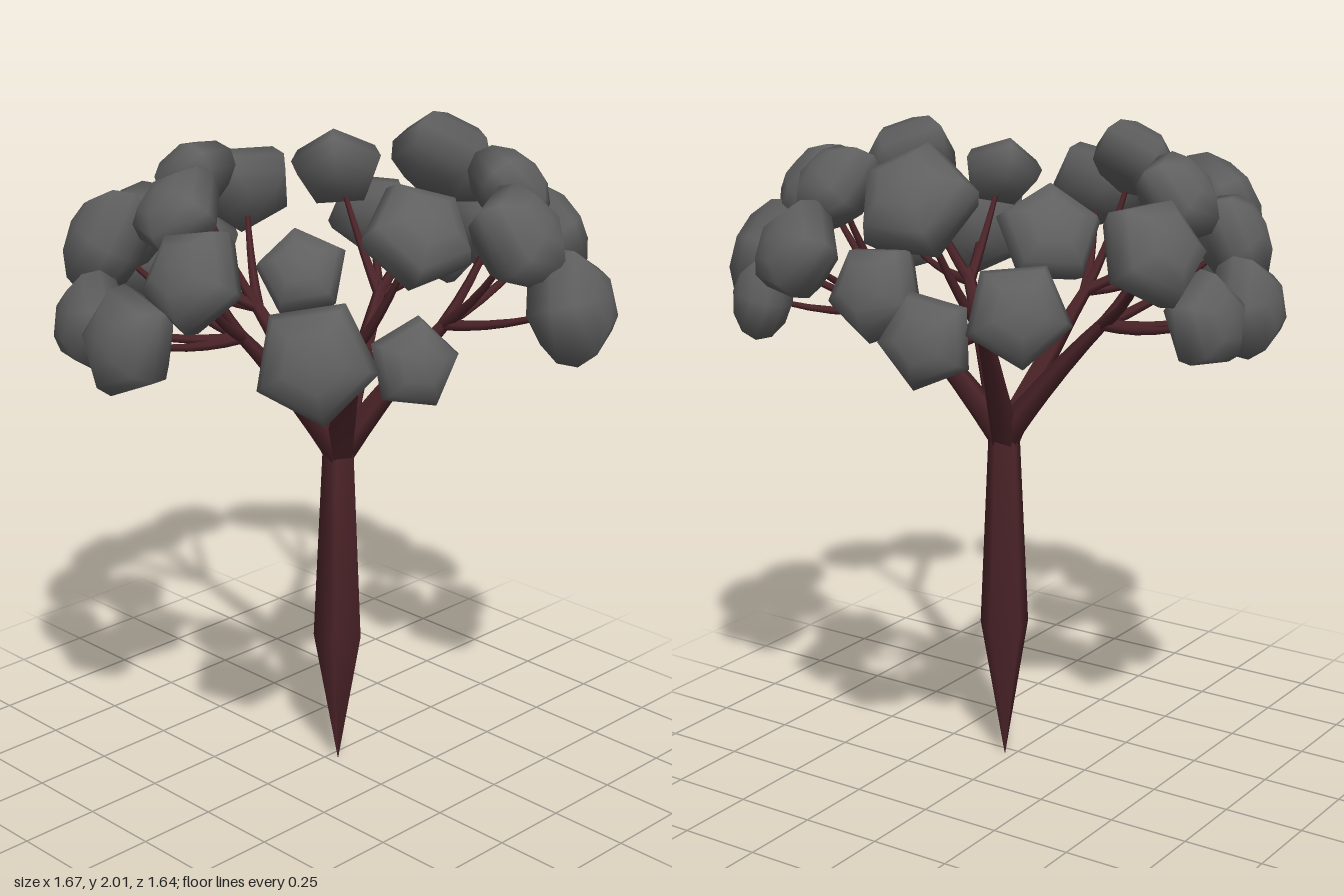
import * as THREE from 'three';

const bark = new THREE.MeshStandardMaterial({ color: 0x4c2429 });
const leaf = new THREE.MeshStandardMaterial({ color: 0x606060 });
const V = (x, y, z) => new THREE.Vector3(x, y, z);

const CROTCH = V(0.03, 1.05, 0.03); // top of the trunk, where the limbs part
const CROWN = V(0.03, 1.35, 0.03); // point the leaf clumps face away from

// Each limb: its fork point, then its clumps as [x, y, z, radius]
const limbs = [
  { name: 'back', fork: V(0.01, 1.47, -0.33), clumps: [
    [-0.24, 1.69, -0.59, 0.155], [-0.09, 1.53, -0.72, 0.155], [-0.07, 1.83, -0.5, 0.145],
    [0.24, 1.73, -0.6, 0.165], [0.13, 1.53, -0.71, 0.145]] },
  { name: 'left', fork: V(0.36, 1.49, -0.11), clumps: [
    [0.45, 1.79, -0.4, 0.15], [0.63, 1.61, -0.42, 0.15], [0.735, 1.53, -0.2, 0.14],
    [0.57, 1.86, -0.05, 0.18], [0.69, 1.63, 0, 0.145]] },
  { name: 'frontLeft', fork: V(0.25, 1.49, 0.28), clumps: [
    [0.44, 1.85, 0.33, 0.15], [0.61, 1.69, 0.34, 0.155], [0.53, 1.52, 0.54, 0.13],
    [0.2, 1.79, 0.57, 0.17], [0.31, 1.59, 0.68, 0.18]] },
  { name: 'frontRight', fork: V(-0.15, 1.51, 0.29), clumps: [
    [-0.13, 1.84, 0.49, 0.165], [-0.43, 1.77, 0.35, 0.13],
    [-0.52, 1.57, 0.49, 0.175], [-0.3, 1.55, 0.64, 0.13]] },
  { name: 'right', fork: V(-0.3, 1.49, -0.07), clumps: [
    [-0.45, 1.85, -0.13, 0.15], [-0.49, 1.73, -0.4, 0.175], [-0.65, 1.54, -0.29, 0.15],
    [-0.72, 1.55, -0.04, 0.165], [-0.59, 1.73, 0.09, 0.16]] },
];

// Tube along a bent path, narrowing from r0 to r1
function taperedTube(from, bend, to, r0, r1, rings, sides) {
  const curve = new THREE.QuadraticBezierCurve3(from, bend, to);
  const geo = new THREE.TubeGeometry(curve, rings, 1, sides);
  const pos = geo.attributes.position;
  const p = V(0, 0, 0);
  for (let i = 0; i < pos.count; i++) {
    const t = Math.floor(i / (sides + 1)) / rings;
    const c = curve.getPointAt(t);
    p.fromBufferAttribute(pos, i).sub(c).multiplyScalar(r0 + (r1 - r0) * t).add(c);
    pos.setXYZ(i, p.x, p.y, p.z);
  }
  return geo;
}

function addMesh(parent, name, geo, mat) {
  const mesh = new THREE.Mesh(geo, mat);
  mesh.name = name;
  parent.add(mesh);
  return mesh;
}

export function createModel() {
  const tree = new THREE.Group();
  tree.name = 'tree';

  // Five-sided trunk: pointed foot, widest below the middle
  const profile = [[0.001, 0.01], [0.078, 0.45], [0.05, 1.06], [0.001, 1.1]];
  const trunk = addMesh(tree, 'trunk', new THREE.LatheGeometry(
    profile.map(([r, y]) => new THREE.Vector2(r, y)), 5), bark);
  trunk.position.set(CROTCH.x, 0, CROTCH.z);
  trunk.rotation.y = Math.PI / 2;

  // Five-sided rounded clump, flattened along its axis
  const clumpGeo = new THREE.SphereGeometry(1, 5, 6);

  limbs.forEach(({ name, fork, clumps }, n) => {
    const limb = new THREE.Group();
    limb.name = name + 'Limb';
    tree.add(limb);

    // Main branch
    const bend = CROTCH.clone().lerp(fork, 0.5);
    bend.y += 0.03;
    addMesh(limb, 'branch', taperedTube(CROTCH, bend, fork, 0.048, 0.018, 5, 5), bark);

    clumps.forEach(([x, y, z, r], k) => {
      const centre = V(x, y, z);

      // Sagging twig from the fork into the clump
      const sag = fork.clone().lerp(centre, 0.5);
      sag.y -= 0.06;
      const start = fork.clone().lerp(bend, 0.15);
      addMesh(limb, 'twig', taperedTube(start, sag, centre, 0.018, 0.006, 6, 5), bark);

      // Leaf clump facing outwards from the crown
      const clump = addMesh(limb, 'leafClump', clumpGeo, leaf);
      clump.position.copy(centre);
      clump.scale.set(r, r * 0.68, r);
      clump.quaternion.setFromUnitVectors(V(0, 1, 0), centre.sub(CROWN).normalize());
      clump.rotateY(n * 0.7 + k * 1.9);
    });
  });

  return tree;
}
